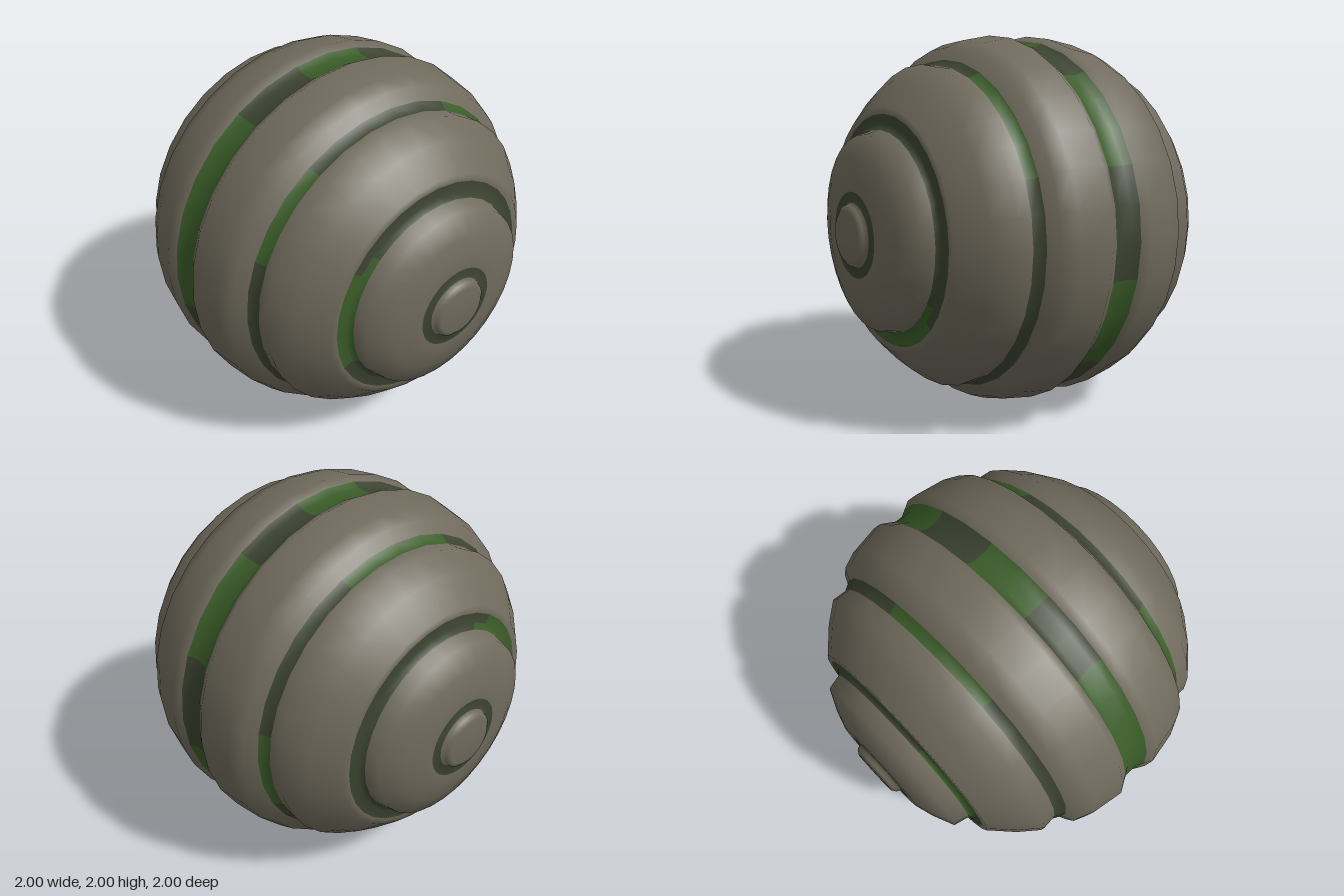
import * as THREE from 'three';

// Half profile from the middle to the end cap: [x, radius, 1 = inside a groove]
const HALF = [
  [0.04, 0.953, 1], [0.08, 0.975, 1], [0.125, 1, 0], [0.3, 0.97, 0], [0.385, 0.935, 0],
  [0.415, 0.87, 1], [0.47, 0.84, 1], [0.55, 0.845, 0], [0.655, 0.76, 0], [0.77, 0.637, 0],
  [0.772, 0.6, 1], [0.775, 0.55, 1], [0.795, 0.52, 1], [0.875, 0.5, 0], [0.925, 0.385, 0],
  [0.955, 0.285, 0], [0.955, 0.22, 1], [0.957, 0.165, 1], [0.98, 0.155, 0], [0.997, 0.13, 0], [1, 0, 0],
];

// Centres of the moss growing along the grooves
const MOSS = [
  [0, 1.65, 0.7], [0.05, 1.05, 0.95], [0.45, 1.5, 0.68], [-0.45, 0.45, 0.64], [0.78, 1.1, 0.5],
  [-0.78, 1.3, 0.45], [0, 1.6, -0.75], [-0.43, 1.85, 0], [0, 1.95, 0], [0.42, 1.6, -0.6],
  [0, 0.4, 0.75], [0.78, 0.5, -0.2], [-0.45, 0.9, -0.85], [0, 0.5, -0.8],
].map((p) => new THREE.Vector3(...p));

export function createModel() {
  const group = new THREE.Group();
  group.name = 'groovedStoneBall';

  const profile = [...HALF.map(([x, r, g]) => [-x, r, g]).reverse(), ...HALF];
  const rows = profile.length - 1;
  const ball = new THREE.LatheGeometry(profile.map(([x, r]) => new THREE.Vector2(r, x)), 32);
  ball.rotateZ(-Math.PI / 2).translate(0, 1, 0);

  // Sort the faces into ridges, grooves and mossy groove stretches
  const faces = { stoneRidges: [], darkGrooves: [], mossyGrooves: [] };
  const pos = ball.attributes.position;
  const index = Array.from(ball.index.array);
  const a = new THREE.Vector3(), b = new THREE.Vector3();
  for (let q = 0; q * 6 < index.length; q++) {
    const quad = index.slice(q * 6, q * 6 + 6);
    const row = q % rows;
    let part = 'stoneRidges';
    if (profile[row][2] && profile[row + 1][2]) {
      a.fromBufferAttribute(pos, quad[0]);
      b.fromBufferAttribute(pos, quad[3]);
      a.lerp(b, 0.5);
      part = MOSS.some((m) => m.distanceTo(a) < 0.27) ? 'mossyGrooves' : 'darkGrooves';
    }
    faces[part].push(...quad);
  }

  // The parts share one set of smooth normals, so no seams show
  const colors = { stoneRidges: 0x6f6a5c, darkGrooves: 0x3b4330, mossyGrooves: 0x3a5c28 };
  for (const [name, list] of Object.entries(faces)) {
    const geometry = ball.clone().setIndex(list);
    const mesh = new THREE.Mesh(geometry, new THREE.MeshStandardMaterial({ color: colors[name] }));
    mesh.name = name;
    group.add(mesh);
  }
  return group;
}
